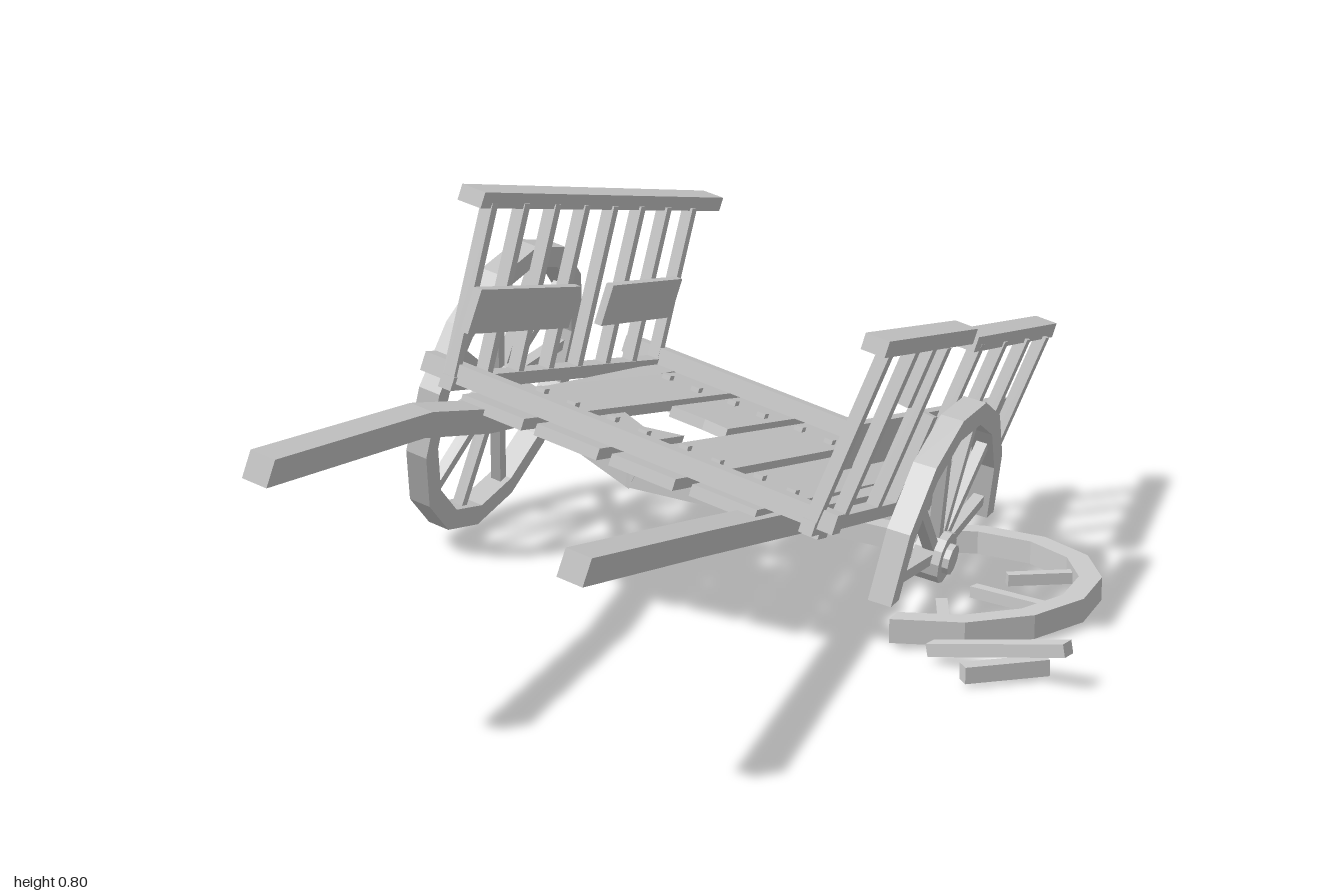
import * as THREE from 'three';

const mat = new THREE.MeshStandardMaterial({ color: 0xcccccc, flatShading: true });
const V = (x, y, z) => new THREE.Vector3(x, y, z);
const DEG = Math.PI / 180;

function add(parent, name, geo) {
  const m = new THREE.Mesh(geo, mat);
  m.name = name;
  parent.add(m);
  return m;
}

// Square timber between two points: w across, h upwards
function beam(parent, name, p, q, w, h) {
  const a = V(...p), b = V(...q);
  const z = b.clone().sub(a), len = z.length();
  z.normalize();
  const up = Math.abs(z.y) > 0.8 ? V(0, 0, 1) : V(0, 1, 0);
  const x = up.cross(z).normalize(), y = z.clone().cross(x);
  const m = add(parent, name, new THREE.BoxGeometry(w, h, len));
  m.quaternion.setFromRotationMatrix(new THREE.Matrix4().makeBasis(x, y, z));
  m.position.copy(a.add(b).multiplyScalar(0.5));
}

// Bent timber swept through cross-section centres, listed from front to back
function bentBeam(parent, name, pts, w, h) {
  const pos = [], idx = [];
  pts.forEach(([x, y, z]) => {
    for (const [i, j] of [[-1, -1], [1, -1], [1, 1], [-1, 1]]) pos.push(x + i * w / 2, y + j * h / 2, z);
  });
  for (let s = 0; s < pts.length - 1; s++) {
    for (let k = 0; k < 4; k++) {
      const a = s * 4 + k, b = s * 4 + (k + 1) % 4;
      idx.push(a, b + 4, b, a, a + 4, b + 4);
    }
  }
  const e = (pts.length - 1) * 4;
  idx.push(0, 1, 2, 0, 2, 3, e, e + 2, e + 1, e, e + 3, e + 2);
  const g = new THREE.BufferGeometry();
  g.setAttribute('position', new THREE.Float32BufferAttribute(pos, 3));
  g.setIndex(idx);
  const flat = g.toNonIndexed();
  flat.computeVertexNormals();
  add(parent, name, flat);
}

// Faceted rim in the XY plane, whole or partial
function rim(parent, from, to) {
  const R = 0.303, r = 0.26, full = to - from >= 360;
  const n = Math.round((to - from) * 14 / 360);
  const arc = rad => Array.from({ length: full ? n : n + 1 }, (_, i) => {
    const t = (from + (to - from) * i / n) * DEG;
    return new THREE.Vector2(rad * Math.cos(t), rad * Math.sin(t));
  });
  const shape = new THREE.Shape(full ? arc(R) : [...arc(R), ...arc(r).reverse()]);
  if (full) shape.holes.push(new THREE.Path(arc(r)));
  const g = new THREE.ExtrudeGeometry(shape, { depth: 0.045, bevelEnabled: false });
  add(parent, 'rim', g.translate(0, 0, -0.0225));
}

function spoke(parent, deg, r0, r1) {
  const c = Math.cos(deg * DEG), s = Math.sin(deg * DEG);
  beam(parent, 'spoke', [c * r0, s * r0, 0], [c * r1, s * r1, 0], 0.022, 0.022);
}

function hub(parent) {
  add(parent, 'hub', new THREE.CylinderGeometry(0.05, 0.05, 0.055, 12).rotateX(Math.PI / 2));
  add(parent, 'hubCap', new THREE.CylinderGeometry(0.03, 0.03, 0.08, 10).rotateX(Math.PI / 2));
}

function subgroup(parent, name, x, y, z) {
  const g = new THREE.Group();
  g.name = name;
  g.position.set(x, y, z);
  parent.add(g);
  return g;
}

export function createModel() {
  const root = new THREE.Group();
  root.name = 'brokenCart';

  // Tilted cart frame: x across, y up from the bed, z towards the shafts
  const cart = subgroup(root, 'cartBody', -0.137, 0.25, -0.32);
  const f = V(0.093, 0.195, 0.976).normalize();
  const u = f.clone().cross(V(0.967, -0.25, -0.042)).normalize();
  const r = u.clone().cross(f);
  cart.quaternion.setFromRotationMatrix(new THREE.Matrix4().makeBasis(r, u, f));

  // Bed planks
  const plankX = [-0.245, -0.093, 0.06, 0.215], w = 0.064;
  for (const [i, b, t] of [[0, -0.555, 0.56], [2, -0.58, 0.555], [3, -0.56, 0.54]]) {
    beam(cart, 'bedPlank', [plankX[i], -0.011, b], [plankX[i], -0.011, t], 2 * w, 0.022);
  }

  // The two ends of the snapped plank, as [x, z] outlines
  const snapped = [
    [[-w, -0.565], [w, -0.565], [w, -0.08], [0.01, -0.09], [-w, -0.09]],
    [[-w, 0.555], [-w, 0.15], [0.005, 0.215], [w, 0.15], [w, 0.555]],
  ];
  for (const pts of snapped) {
    const s = new THREE.Shape(pts.map(([x, z]) => new THREE.Vector2(x, -z)));
    const g = new THREE.ExtrudeGeometry(s, { depth: 0.022, bevelEnabled: false });
    add(cart, 'snappedPlank', g.rotateX(-Math.PI / 2).translate(plankX[1], -0.022, 0));
  }

  // Cross beams under the bed, with pegs showing above
  for (const z of [0.28, -0.35]) {
    beam(cart, 'underBeam', [-0.33, -0.04, z], [0.33, -0.04, z], 0.05, 0.036);
    for (const x of plankX) for (const s of [-1, 1]) {
      const peg = add(cart, 'peg', new THREE.BoxGeometry(0.018, 0.012, 0.022));
      peg.position.set(x + s * 0.036, 0.004, z + s * 0.006);
    }
  }

  // Cross bars over the bed ends
  beam(cart, 'frontCrossBar', [-0.43, 0.018, 0.48], [0.41, 0.018, 0.48], 0.042, 0.036);
  beam(cart, 'rearCrossBar', [-0.44, 0.018, -0.49], [0.34, 0.018, -0.49], 0.042, 0.036);

  // Shafts running under the bed and out to the front
  bentBeam(cart, 'rightShaft',
    [[-0.267, -0.073, 1.33], [-0.279, -0.027, 0.78], [-0.283, -0.037, 0.5], [-0.345, -0.02, -0.635]], 0.046, 0.048);
  bentBeam(cart, 'leftShaft',
    [[0.267, -0.036, 1.28], [0.267, -0.036, 0.78], [0.268, -0.037, 0.5], [0.306, -0.02, -0.645]], 0.046, 0.048);

  // Side frames: sill, posts and top rails
  const post = (s, z, y0 = 0, y1 = 0.335) => {
    const x = y => s * (0.367 + 0.09 * y);
    beam(cart, 'sidePost', [x(y0), y0, z], [x(y1), y1, z], 0.024, 0.024);
  };
  for (const s of [-1, 1]) beam(cart, 'sideSill', [s * 0.367, 0, -0.55], [s * 0.367, 0, 0.515], 0.026, 0.026);
  beam(cart, 'rightTopRail', [-0.415, 0.345, -0.64], [-0.41, 0.34, 0.555], 0.048, 0.03);
  for (let i = 0; i < 8; i++) post(-1, 0.5 - i * 0.14);
  beam(cart, 'rightSlat', [-0.36, 0.14, 0.07], [-0.36, 0.14, 0.52], 0.016, 0.085);
  beam(cart, 'rightSlat', [-0.36, 0.15, -0.45], [-0.36, 0.14, -0.09], 0.016, 0.085);

  beam(cart, 'leftTopRailFront', [0.402, 0.36, 0.075], [0.39, 0.345, 0.55], 0.046, 0.03);
  beam(cart, 'leftTopRailRear', [0.377, 0.345, -0.59], [0.386, 0.335, -0.01], 0.046, 0.03);
  for (const z of [0.5, 0.35, 0.16, -0.06, -0.22, -0.38, -0.52]) post(1, z);
  post(1, 0.25, 0.22, 0.34);
  post(1, 0.05, 0, 0.19);
  beam(cart, 'leftSlat', [0.35, 0.14, -0.58], [0.357, 0.14, 0.42], 0.016, 0.085);

  // Whole wheel on the right side
  const wheel = subgroup(cart, 'wholeWheel', -0.49, -0.072, -0.003);
  wheel.rotation.y = Math.PI / 2;
  rim(wheel, 0, 360);
  hub(wheel);
  for (let i = 0; i < 10; i++) spoke(wheel, 18 + i * 36, 0.04, 0.265);

  // Upper half of the broken wheel, still on the axle
  const half = subgroup(root, 'brokenWheelUpper', 0.295, 0.073, -0.33);
  half.rotation.set(0, Math.PI / 2 + 0.08, -0.19, 'ZYX');
  rim(half, 0, 180);
  hub(half);
  for (let i = 0; i < 6; i++) spoke(half, 8 + i * 33, 0.04, 0.265);

  // Lower part of the broken wheel, lying flat
  const flat = subgroup(root, 'brokenWheelLower', 0.32, 0.0305, -0.3);
  flat.rotation.x = -Math.PI / 2;
  rim(flat, -84, 122);
  spoke(flat, 34, 0.13, 0.265);
  spoke(flat, -14, 0.08, 0.265);
  spoke(flat, -65, 0.13, 0.265);

  // Cracked axle
  beam(root, 'axle', [-0.64, 0.305, -0.32], [-0.325, 0.145, -0.31], 0.045, 0.04);
  beam(root, 'axle', [-0.34, 0.15, -0.31], [0.3, 0.09, -0.33], 0.045, 0.04);

  // Loose splinters on the ground
  beam(root, 'looseStick', [0.545, 0.022, 0.125], [0.66, 0.022, 0.02], 0.03, 0.03);
  beam(root, 'looseStick', [0.445, 0.022, 0.03], [0.715, 0.075, 0.065], 0.03, 0.024);

  return root;
}
